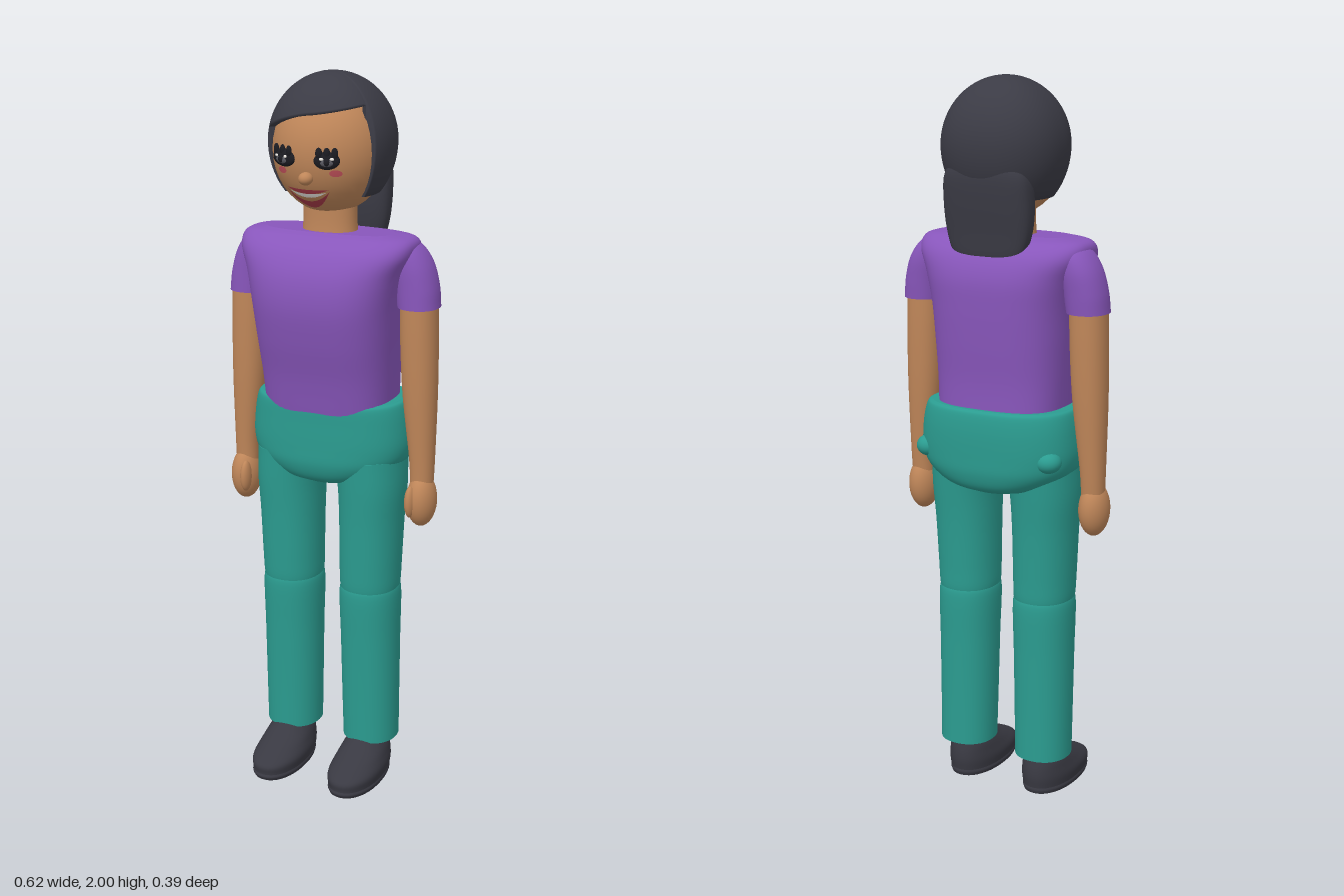
import * as THREE from 'three';

const mat = (name, color, side = THREE.FrontSide) => {
  const m = new THREE.MeshStandardMaterial({ color, side });
  m.name = name;
  return m;
};

// Smooth stack of rounded cross-sections, rows bottom to top: [y, centreX, radiusX, zBack, zFront]
function loft(rows, p = 2.2, n = 40, steps = 6) {
  const a = new THREE.CatmullRomCurve3(rows.map(r => new THREE.Vector3(r[0], r[1], r[2])), false, 'catmullrom');
  const b = new THREE.CatmullRomCurve3(rows.map(r => new THREE.Vector3(r[3], r[4], 0)), false, 'catmullrom');
  const m = (rows.length - 1) * steps, pos = [], idx = [];
  const sp = v => Math.sign(v) * Math.pow(Math.abs(v), 2 / p);
  const ring = t => {
    const q = a.getPoint(t), z = b.getPoint(t);
    for (let i = 0; i < n; i++) {
      const g = i / n * Math.PI * 2;
      pos.push(q.y + q.z * sp(Math.cos(g)), q.x, (z.x + z.y) / 2 + (z.y - z.x) / 2 * sp(Math.sin(g)));
    }
    return [q.y, q.x, (z.x + z.y) / 2];
  };
  for (let j = 0; j <= m; j++) ring(j / m);
  for (let j = 0; j < m; j++) for (let i = 0; i < n; i++) {
    const k = (i + 1) % n, A = j * n + i, C = j * n + k;
    idx.push(A, A + n, C, A + n, C + n, C);
  }
  // End caps with their own rings, so the rims stay sharp
  for (const t of [0, 1]) {
    const s = pos.length / 3;
    pos.push(...ring(t));
    for (let i = 0; i < n; i++) {
      const k = (i + 1) % n;
      t ? idx.push(s + n, s + k, s + i) : idx.push(s + n, s + i, s + k);
    }
  }
  return build(pos, idx);
}

function build(pos, idx) {
  const g = new THREE.BufferGeometry();
  g.setAttribute('position', new THREE.Float32BufferAttribute(pos, 3));
  g.setIndex(idx);
  g.computeVertexNormals();
  return g;
}

// Front surface of the head
const faceZ = (x, y) => -0.01 + 0.155 * Math.sqrt(Math.max(0, 1 - (x / 0.155) ** 2 - ((y - 1.8) / 0.17) ** 2));

// Thin painted strip lying on the face between two height curves, u = -1..1
function faceStrip(cx, w, lo, hi) {
  const g = new THREE.PlaneGeometry(2, 1, 24, 4), p = g.attributes.position;
  for (let i = 0; i < p.count; i++) {
    const u = p.getX(i), x = cx + u * w;
    const y = THREE.MathUtils.lerp(lo(u), hi(u), p.getY(i) + 0.5);
    p.setXYZ(i, x, y, faceZ(x, y) + 0.004);
  }
  g.computeVertexNormals();
  return g;
}

// Hair cap with a swept fringe and straight edges beside the face
function hairCap() {
  const n = 144, m = 24, pos = [], idx = [], rad = Math.PI / 180;
  const sp = v => Math.sign(v) * Math.pow(Math.abs(v), 2 / 2.3);
  for (let j = 0; j <= m + 1; j++) for (let i = 0; i < n; i++) {
    const g = i / n * Math.PI * 2;
    const front = g > 25 * rad && g < 152 * rad;
    const edge = front ? 1.9 + 0.025 * Math.cos(g) - 0.03 * Math.max(0, -Math.cos(g)) ** 2 : 1.685;
    const e = edge > 1.82 ? Math.acos((edge - 1.82) / 0.18) : Math.acos((edge - 1.82) / 0.2);
    const th = e * Math.min(j, m) / m, c = Math.cos(th);
    const r = Math.sin(th) * (j > m ? 0.9 : 1);
    pos.push(0.167 * r * sp(Math.cos(g)), 1.82 + (c > 0 ? 0.18 : 0.2) * c, -0.023 + 0.164 * r * sp(Math.sin(g)));
  }
  for (let j = 0; j <= m; j++) for (let i = 0; i < n; i++) {
    const k = (i + 1) % n, A = j * n + i, C = j * n + k;
    idx.push(A, C, A + n, C, C + n, A + n);
  }
  return build(pos, idx);
}

export function createModel() {
  const root = new THREE.Group();
  root.name = 'standingWoman';
  const skin = mat('skin', 0xbf8659), hair = mat('hair', 0x3b3b45, THREE.DoubleSide);
  const shirt = mat('shirt', 0x8856bb), trousers = mat('trousers', 0x2b9c90);
  const shoe = mat('shoe', 0x393942), black = mat('eyeBlack', 0x1c1c22);
  const grey = mat('eyeGrey', 0x5a5a62), white = mat('white', 0xf0ece6);
  const lips = mat('lips', 0xa83a48), blush = mat('blush', 0xc0505a);

  const add = (name, geo, material, parent = root) => {
    const mesh = new THREE.Mesh(geo, material);
    mesh.name = name;
    parent.add(mesh);
    return mesh;
  };
  const ball = (name, material, p, r, parent = root) => {
    const mesh = add(name, new THREE.SphereGeometry(1, 32, 20), material, parent);
    mesh.position.set(...p);
    mesh.scale.set(...r);
    return mesh;
  };

  // Head, neck and hair
  ball('head', skin, [0, 1.8, -0.01], [0.155, 0.17, 0.155]);
  add('neck', loft([[1.55, 0, 0.08, -0.065, 0.055], [1.61, 0, 0.074, -0.06, 0.05], [1.7, 0, 0.074, -0.06, 0.05]]), skin);
  add('hairCap', hairCap(), hair);
  add('ponytail', loft([
    [1.525, 0, 0.06, -0.14, -0.1], [1.54, 0, 0.1, -0.15, -0.085], [1.6, 0, 0.122, -0.158, -0.068],
    [1.68, 0, 0.128, -0.17, -0.06], [1.75, 0, 0.12, -0.175, -0.07], [1.8, 0, 0.08, -0.165, -0.09]], 2.8), hair);

  // Face
  const face = new THREE.Group();
  face.name = 'face';
  root.add(face);
  ball('nose', skin, [0, 1.742, 0.145], [0.019, 0.017, 0.02], face);
  for (const [x, w] of [[-0.07, 0.044], [0.055, 0.034]]) {
    const eye = new THREE.Group();
    eye.name = 'eye';
    eye.position.set(x, 1.79, faceZ(x, 1.79));
    eye.rotation.y = Math.asin(x / 0.155);
    face.add(eye);
    ball('eyeOutline', black, [0, 0, 0], [w, 0.023, 0.011], eye);
    ball('iris', grey, [0, -0.004, 0.004], [w * 0.6, 0.012, 0.009], eye);
    ball('pupil', black, [0, -0.003, 0.006], [w * 0.3, 0.011, 0.009], eye);
    for (const s of [-1, 1]) ball('eyeShine', white, [s * w * 0.4, 0.005, 0.009], [0.006, 0.004, 0.004], eye);
    for (const s of [-1, 0, 1]) ball('lash', black, [s * w * 0.6, 0.019, 0.004], [0.009, 0.015, 0.006], eye);
  }
  for (const x of [-0.077, 0.075]) {
    const h = u => 0.009 * Math.sqrt(Math.max(0, 1 - u * u));
    add('cheek', faceStrip(x, 0.015, u => 1.757 - h(u), u => 1.757 + h(u)), blush, face);
  }
  const smile = (name, material, w, y, dip, h) => add(name, faceStrip(-0.01, w,
    u => y - (dip + h) * (1 - u * u), u => y - dip * (1 - u * u)), material, face);
  smile('upperLip', lips, 0.062, 1.712, 0.002, 0.012);
  smile('teeth', white, 0.054, 1.704, 0.006, 0.011);
  smile('lowerLip', lips, 0.062, 1.706, 0.03, 0.02);

  // Shirt body
  add('shirtBody', loft([
    [1.1, 0, 0.178, -0.163, 0.115], [1.2, 0, 0.183, -0.163, 0.133], [1.3, 0, 0.19, -0.17, 0.157],
    [1.4, 0, 0.2, -0.175, 0.172], [1.48, 0, 0.218, -0.173, 0.163], [1.54, 0, 0.244, -0.15, 0.132],
    [1.575, 0, 0.236, -0.11, 0.09], [1.587, 0, 0.18, -0.07, 0.06]], 2.9, 56), shirt);

  // Trouser hips
  add('hips', loft([
    [0.89, 0, 0.07, -0.13, 0.06], [0.91, 0, 0.15, -0.17, 0.095], [0.95, 0, 0.208, -0.188, 0.113],
    [1.0, 0, 0.228, -0.192, 0.116], [1.07, 0, 0.225, -0.193, 0.116], [1.12, 0, 0.214, -0.187, 0.115],
    [1.13, 0, 0.2, -0.175, 0.105]], 2.5, 56), trousers);

  // Limbs, mirrored left and right
  for (const s of [-1, 1]) {
    const limb = (name, material, rows, p) =>
      add(name, loft(rows.map(r => [r[0], s * r[1], r[2], r[3], r[4]]), p), material);
    limb('sleeve', shirt, [
      [1.395, 0.25, 0.056, -0.09, 0.036], [1.45, 0.243, 0.057, -0.094, 0.036], [1.51, 0.227, 0.055, -0.096, 0.036],
      [1.555, 0.205, 0.045, -0.085, 0.03], [1.58, 0.19, 0.015, -0.05, 0]]);
    limb('arm', skin, [
      [0.89, 0.268, 0.031, -0.055, 0.01], [0.97, 0.267, 0.034, -0.062, 0.014], [1.15, 0.258, 0.046, -0.075, 0.025],
      [1.3, 0.253, 0.05, -0.08, 0.029], [1.42, 0.25, 0.05, -0.08, 0.029]]);
    ball('hand', skin, [s * 0.27, 0.855, -0.018], [0.041, 0.075, 0.053]);
    ball('thumb', skin, [s * 0.252, 0.858, 0.022], [0.015, 0.045, 0.023]);
    ball('hipBump', trousers, [s * 0.185, 1.0, -0.125], [0.036, 0.03, 0.036]);
    limb('upperLeg', trousers, [
      [0.55, 0.119, 0.07, -0.095, 0.06], [0.58, 0.119, 0.081, -0.108, 0.072], [0.65, 0.12, 0.084, -0.112, 0.077],
      [0.78, 0.122, 0.087, -0.12, 0.083], [0.88, 0.123, 0.092, -0.13, 0.09], [0.97, 0.115, 0.098, -0.14, 0.095]]);
    limb('lowerLeg', trousers, [
      [0.11, 0.122, 0.078, -0.106, 0.055], [0.25, 0.121, 0.08, -0.106, 0.06], [0.42, 0.12, 0.082, -0.108, 0.067],
      [0.56, 0.119, 0.084, -0.111, 0.074], [0.595, 0.119, 0.074, -0.1, 0.065]]);
    limb('shoeSole', shoe, [
      [0, 0.12, 0.069, -0.082, 0.19], [0.01, 0.12, 0.072, -0.085, 0.195], [0.018, 0.12, 0.07, -0.083, 0.192]]);
    limb('shoeUpper', shoe, [
      [0.018, 0.12, 0.071, -0.085, 0.193], [0.045, 0.12, 0.074, -0.088, 0.19], [0.07, 0.12, 0.068, -0.086, 0.14],
      [0.095, 0.12, 0.06, -0.08, 0.085], [0.125, 0.12, 0.045, -0.072, 0.045]]);
  }
  return root;
}
